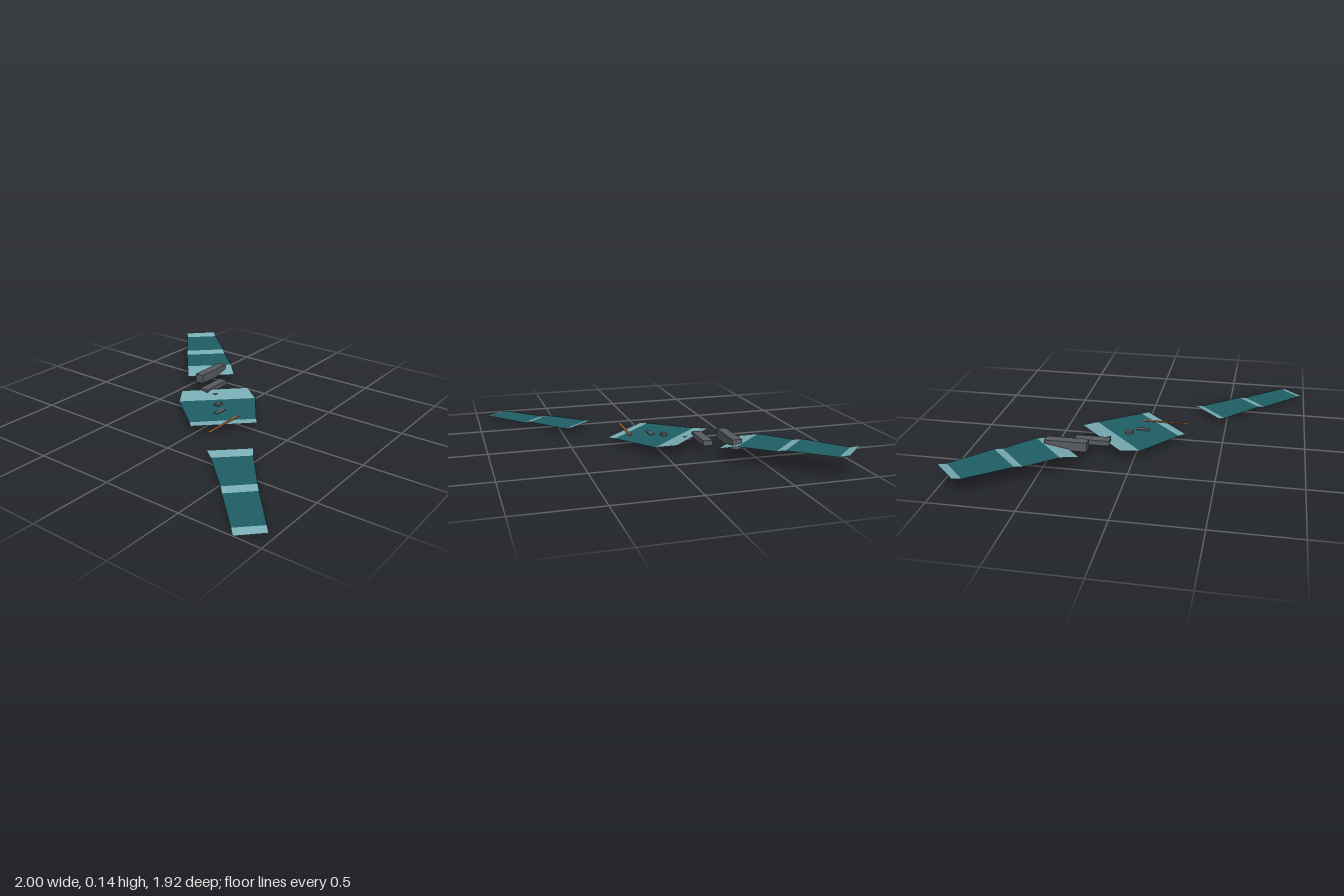
import * as THREE from 'three';

const material = (name, color, side = THREE.FrontSide) => {
  const m = new THREE.MeshStandardMaterial({ color, side });
  m.name = name;
  return m;
};

export function createModel() {
  const model = new THREE.Group();
  model.name = 'steppedPanels';
  const teal = material('deepTeal', 0x1f5f66, THREE.DoubleSide);
  const pale = material('paleTeal', 0x78adb4, THREE.DoubleSide);
  const grey = material('slateGrey', 0x585c60);
  const rust = material('rustBrown', 0x96582e, THREE.DoubleSide);

  // Folded sheet: each station is a cross edge [x1, z1, x2, z2, y]; bands alternate pale, deep, pale...
  function foldedSheet(name, stations) {
    const sheet = new THREE.Group();
    sheet.name = name;
    for (let i = 0; i < stations.length - 1; i++) {
      const [ax, az, bx, bz, y0] = stations[i];
      const [cx, cz, dx, dz, y1] = stations[i + 1];
      const geometry = new THREE.BufferGeometry();
      geometry.setAttribute('position', new THREE.Float32BufferAttribute(
        [ax, y0, az, bx, y0, bz, dx, y1, dz, cx, y1, cz], 3));
      geometry.setIndex([0, 1, 2, 0, 2, 3]);
      geometry.computeVertexNormals();
      const band = new THREE.Mesh(geometry, i % 2 ? teal : pale);
      band.name = i % 2 ? 'flatBand' : 'rampBand';
      sheet.add(band);
    }
    model.add(sheet);
  }

  foldedSheet('lowerWing', [
    [-1.0, 0.834, -0.875, 0.957, 0.0],
    [-0.963, 0.797, -0.84, 0.922, 0.013],
    [-0.738, 0.572, -0.599, 0.711, 0.014],
    [-0.70, 0.535, -0.561, 0.676, 0.026],
    [-0.487, 0.305, -0.321, 0.481, 0.029],
    [-0.455, 0.251, -0.273, 0.446, 0.046],
  ]);
  foldedSheet('centrePanel', [
    [-0.273, -0.016, 0.011, 0.278, 0.047],
    [-0.235, -0.053, 0.053, 0.241, 0.049],
    [-0.037, -0.30, 0.305, 0.059, 0.051],
    [0.07, -0.364, 0.374, -0.053, 0.074],
  ]);
  foldedSheet('upperWing', [
    [0.283, -0.487, 0.503, -0.257, 0.075],
    [0.374, -0.565, 0.583, -0.342, 0.104],
    [0.545, -0.711, 0.733, -0.513, 0.106],
    [0.583, -0.743, 0.77, -0.551, 0.118],
    [0.813, -0.925, 0.963, -0.77, 0.121],
    [0.85, -0.963, 1.0, -0.813, 0.137],
  ]);

  // Blocks climbing along the diagonal: [name, x0, x1, y0, y1, z0, z1]
  const blocks = [
    ['largeBlock', 0.262, 0.517, 0.066, 0.124, -0.40, -0.342],
    ['mediumBlock', 0.155, 0.367, 0.054, 0.086, -0.278, -0.22],
    ['buriedBlock', 0.17, 0.225, 0.053, 0.065, -0.195, -0.162],
    ['smallBlock', 0.05, 0.094, 0.05, 0.064, -0.082, -0.05],
    ['lowBlock', -0.042, 0.042, 0.046, 0.054, -0.016, 0.016],
  ];
  for (const [name, x0, x1, y0, y1, z0, z1] of blocks) {
    const block = new THREE.Mesh(new THREE.BoxGeometry(x1 - x0, y1 - y0, z1 - z0), grey);
    block.name = name;
    block.position.set((x0 + x1) / 2, (y0 + y1) / 2, (z0 + z1) / 2);
    model.add(block);
  }

  // Flat rail laid across the edge of the centre panel
  const rail = new THREE.Mesh(new THREE.BoxGeometry(0.294, 0.003, 0.018), rust);
  rail.name = 'thinRail';
  rail.position.set(-0.132, 0.0515, 0.13);
  model.add(rail);

  return model;
}
